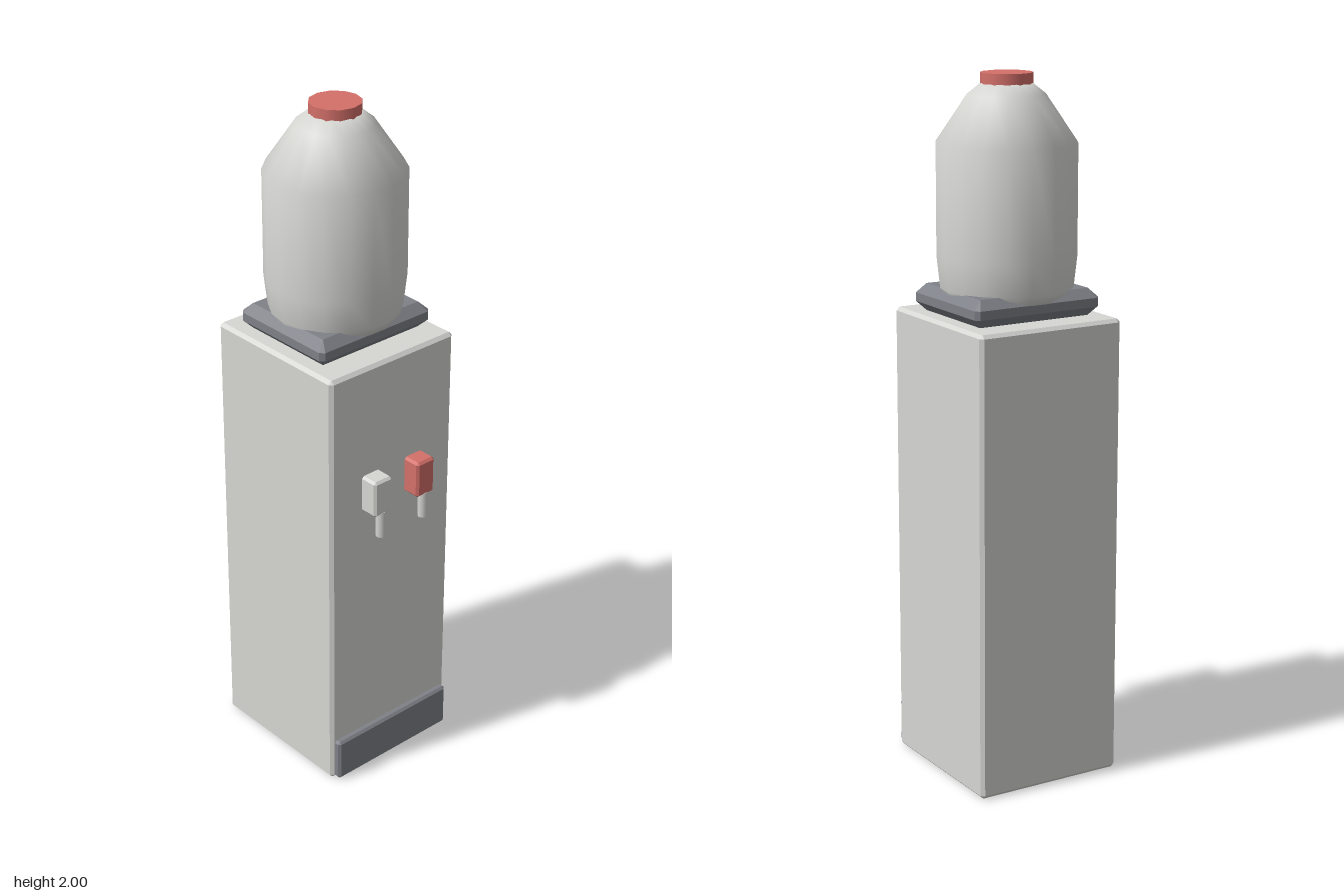
import * as THREE from 'three';
import { ConvexGeometry } from 'three/addons/geometries/ConvexGeometry.js';

// Eight points of a rectangle with cut corners at height y.
function ring(y, hx, hz, cut) {
  const points = [];
  for (const sx of [-1, 1]) for (const sz of [-1, 1]) {
    points.push(new THREE.Vector3(sx * (hx - cut), y, sz * hz));
    points.push(new THREE.Vector3(sx * hx, y, sz * (hz - cut)));
  }
  return points;
}

// Box with chamfered edges, centred in x and z, from y0 to y1.
// edge: chamfer of the top and bottom rims; corner: cut of the upright edges.
function chamferBox(width, depth, y0, y1, edge, corner = edge) {
  const hx = width / 2, hz = depth / 2;
  return new ConvexGeometry([
    ...ring(y0, hx - edge, hz - edge, 0.0005),
    ...ring(y0 + edge, hx, hz, corner),
    ...ring(y1 - edge, hx, hz, corner),
    ...ring(y1, hx - edge, hz - edge, 0.0005),
  ]);
}

export function createModel() {
  const group = new THREE.Group();
  const paint = (name, color, flatShading = false) => {
    const m = new THREE.MeshStandardMaterial({ color, flatShading });
    m.name = name;
    return m;
  };
  const white = paint('offWhite', 0xd6d6d3);
  const dark = paint('darkGrey', 0x7f8188);
  const red = paint('red', 0xd4706a);

  const add = (name, geometry, material, x, z) => {
    const mesh = new THREE.Mesh(geometry, material);
    mesh.name = name;
    mesh.position.set(x, 0, z);
    group.add(mesh);
    return mesh;
  };
  const centreZ = -0.029;

  // Cabinet and front kick plate
  add('cabinet', chamferBox(0.452, 0.478, 0, 1.333, 0.01), white, 0, centreZ);
  add('kickPlate', chamferBox(0.428, 0.05, 0.004, 0.136, 0.007), dark, 0, 0.205);

  // Tray under the bottle
  add('tray', chamferBox(0.4, 0.346, 1.333, 1.41, 0.026, 0.012), dark, 0, centreZ);

  // Upturned water bottle
  const profile = [
    [0, 1.37], [0.172, 1.375], [0.188, 1.41], [0.198, 1.5],
    [0.198, 1.81], [0.11, 1.94], [0.07, 1.972], [0, 1.972],
  ].map(([r, y]) => new THREE.Vector2(r, y));
  add('bottle', new THREE.LatheGeometry(profile, 18).rotateY(Math.PI / 2), white, 0, centreZ);

  // Bottle cap
  add('cap', new THREE.CylinderGeometry(0.073, 0.073, 0.032, 12).translate(0, 1.984, 0), red, 0, centreZ);

  // Taps: cold on one side, hot on the other
  for (const [side, label, material] of [[-1, 'cold', white], [1, 'hot', red]]) {
    const x = side * 0.08;
    add(label + 'Tap', chamferBox(0.066, 0.075, 0.888, 1.0, 0.007), material, x, 0.2265);
    add(label + 'Spout', new THREE.CylinderGeometry(0.0145, 0.0145, 0.08, 8).translate(0, 0.855, 0), white, x, 0.252);
  }
  return group;
}
